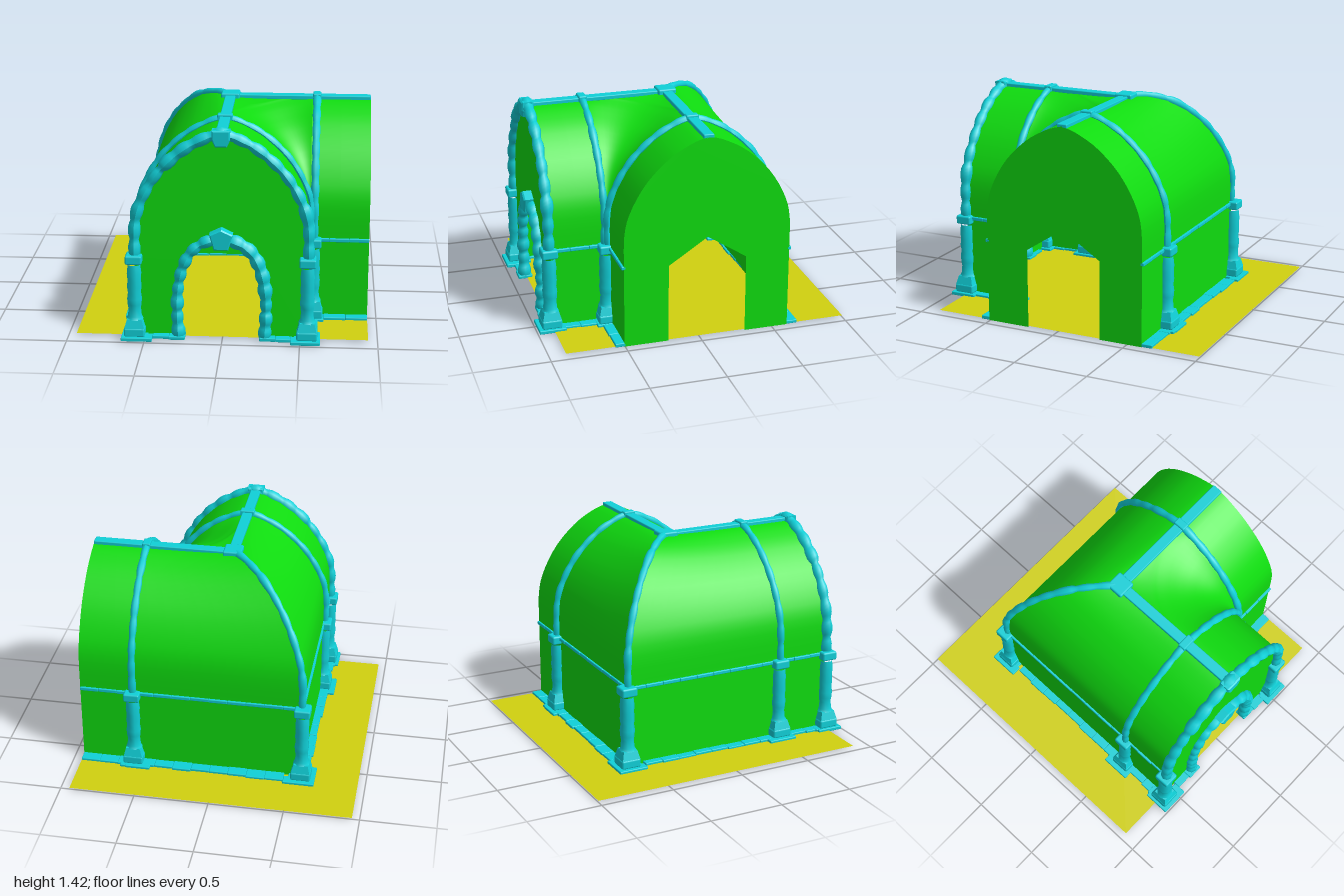
import * as THREE from 'three';
import { ParametricGeometry } from 'three/addons/geometries/ParametricGeometry.js';
import { RoundedBoxGeometry } from 'three/addons/geometries/RoundedBoxGeometry.js';

const CX = -0.005, CZ = -0.05, W = 0.555;   // ridge lines and half width of both arms
const FRONT = 0.89, END = 0.94, SPRING = 0.54;
const X1 = CX + W, Z1 = CZ + W;             // inner corner
const V2 = (x, y) => new THREE.Vector2(x, y);
const V3 = (x, y, z) => new THREE.Vector3(x, y, z);

// Half section of the vault: distance from the ridge line, height
const section = new THREE.SplineCurve([
  V2(W, SPRING), V2(0.55, 0.78), V2(0.505, 0.94), V2(0.4, 1.115), V2(0.25, 1.26), V2(0.1, 1.345), V2(0, 1.375)]);
const lift = d => 0.2 * (d / W) * (1 - d / W); // bulge of the outer corner

export function createModel() {
  const root = new THREE.Group();
  const green = new THREE.MeshStandardMaterial({ color: 0x0fdc0f, side: THREE.DoubleSide });
  const cyan = new THREE.MeshStandardMaterial({ color: 0x10d0d8 });
  const yellow = new THREE.MeshStandardMaterial({ color: 0xd0d010, side: THREE.DoubleSide });

  let seed = 7;
  const rand = () => (seed = (seed * 16807) % 2147483647) / 2147483647;

  const add = (name, geometry, material, x = 0, y = 0, z = 0, parent = root) => {
    const mesh = new THREE.Mesh(geometry, material);
    mesh.name = name;
    mesh.position.set(x, y, z);
    parent.add(mesh);
    return mesh;
  };
  const surface = (name, fn, nu = 20, nv = 12) => add(name, new ParametricGeometry(fn, nu, nv), green);
  const block = (name, w, h, d, x, y, z, parent) =>
    add(name, new RoundedBoxGeometry(w, h, d, 1, Math.min(w, h, d) * 0.2), cyan, x, y, z, parent);

  // Tube of uneven stones along a curve
  const stoneTube = (name, points, radius, stones, bump = 0.2) => {
    const curve = new THREE.CatmullRomCurve3(points);
    const rings = stones * 6, sides = 8;
    const geo = new THREE.TubeGeometry(curve, rings, radius, sides);
    const sizes = Array.from({ length: stones + 1 }, () => 0.95 + bump * rand());
    const pos = geo.attributes.position, v = V3(0, 0, 0);
    for (let i = 0; i <= rings; i++) {
      const c = curve.getPointAt(i / rings);
      const k = sizes[Math.floor(i / 6)] - bump * Math.abs(Math.cos(Math.PI * i / 6)) ** 4;
      for (let j = 0; j <= sides; j++) {
        const n = i * (sides + 1) + j;
        v.fromBufferAttribute(pos, n).sub(c).multiplyScalar(k).add(c);
        pos.setXYZ(n, v.x, v.y, v.z);
      }
    }
    geo.computeVertexNormals();
    return add(name, geo, cyan);
  };

  // Floor
  add('floor', new THREE.PlaneGeometry(1.89, 1.89).rotateX(-Math.PI / 2), yellow, -0.005, 0.008, -0.055);

  // Vault halves: outer ones run into the hip, inner ones stop at the inner corner
  surface('vaultLeft', (u, v, t) => {
    const p = section.getPoint(u), z = THREE.MathUtils.lerp(FRONT, CZ - p.x, v);
    const w = Math.max(0, (Z1 - z) / (W + p.x)) ** 2;
    t.set(CX - p.x, p.y + lift(p.x) * w, z);
  });
  surface('vaultBack', (u, v, t) => {
    const p = section.getPoint(u), x = THREE.MathUtils.lerp(END, CX - p.x, v);
    const w = Math.max(0, (X1 - x) / (W + p.x)) ** 2;
    t.set(x, p.y + lift(p.x) * w, CZ - p.x);
  });
  surface('vaultFrontRight', (u, v, t) => {
    const p = section.getPoint(u);
    t.set(CX + p.x, p.y, THREE.MathUtils.lerp(FRONT, Z1, v));
  }, 20, 2);
  surface('vaultEndFront', (u, v, t) => {
    const p = section.getPoint(u);
    t.set(THREE.MathUtils.lerp(END, X1, v), p.y, CZ + p.x);
  }, 20, 2);

  // Inner corner: section swept about the corner post, then filled out to the ridges
  surface('vaultInnerCorner', (u, v, t) => {
    const a = v * Math.PI / 2, c = Math.cos(a), s = Math.sin(a);
    const p = section.getPoint(Math.min(1, u / 0.8));
    const edge = W / Math.max(c, s);
    const r = u <= 0.8 ? Math.max(0.002, W - p.x) : THREE.MathUtils.lerp(W, edge, (u - 0.8) / 0.2);
    const a1 = r * c / W, b1 = r * s / W;
    const sag = 16 * a1 * (1 - a1) * b1 * (1 - b1) * 0.05;
    t.set(X1 - r * c, p.y - sag, Z1 - r * s);
  }, 25, 16);

  // Straight lower walls
  const walls = [
    ['wallLeft', CX - W, FRONT, CX - W, CZ - W], ['wallBack', CX - W, CZ - W, END, CZ - W],
    ['wallInnerRight', X1, Z1, X1, FRONT], ['wallInnerFront', X1, Z1, END, Z1]];
  for (const [name, xa, za, xb, zb] of walls) {
    const len = Math.hypot(xb - xa, zb - za);
    const wall = add(name, new THREE.PlaneGeometry(len, SPRING), green, (xa + xb) / 2, SPRING / 2, (za + zb) / 2);
    wall.rotation.y = -Math.atan2(zb - za, xb - xa);
    // String course at the springing
    const n = Math.round(len / 0.13), dx = (xb - xa) / n, dz = (zb - za) / n;
    for (let i = 0; i < n; i++) {
      const size = 0.022 + 0.01 * rand();
      block('stringCourse', Math.abs(dx) || size, 0.024, Math.abs(dz) || size,
        xa + dx * (i + 0.5), 0.55, za + dz * (i + 0.5));
    }
  }

  // End walls with a peaked doorway
  const half = section.getPoints(20).map(p => [p.x, p.y]);
  const outline = [[0.26, 0], [W, 0], ...half, ...half.slice(0, -1).reverse().map(([x, y]) => [-x, y]),
    [-W, 0], [-0.26, 0], [-0.26, 0.53], [0, 0.7], [0.26, 0.53]];
  const endGeo = new THREE.ShapeGeometry(new THREE.Shape(outline.map(p => V2(...p))));
  add('frontWall', endGeo, green, CX, 0, FRONT);
  add('endWall', endGeo, green, END, 0, CZ).rotation.y = Math.PI / 2;

  // Ribs and the heavier front arch
  const arch = [...half, ...half.slice(0, -1).reverse().map(([x, y]) => [-x, y])];
  stoneTube('frontArch', arch.map(([x, y]) => V3(CX + x, y, 0.9)), 0.037, 17, 0.28);
  stoneTube('ribAcrossFrontArm', arch.map(([x, y]) => V3(CX + x * 1.02, y + 0.005, 0.53)), 0.025, 16);
  stoneTube('ribAcrossSideArm', arch.map(([z, y]) => V3(0.58, y + 0.005, CZ + z * 1.02)), 0.025, 16);
  stoneTube('hipRib', half.map(([d, y]) => V3(CX - d, y + lift(d), CZ - d)), 0.026, 9);

  // Ridge beams, boss and crossings
  block('ridgeFrontArm', 0.07, 0.03, FRONT - CZ, CX, 1.375, (FRONT + CZ) / 2);
  block('ridgeSideArm', END - CX, 0.03, 0.07, (END + CX) / 2, 1.375, 0.06 + CZ - 0.06);
  block('ridgeBoss', 0.125, 0.055, 0.125, CX, 1.375, CZ);
  block('ridgeCrossing', 0.1, 0.045, 0.055, CX, 1.382, 0.53);
  block('ridgeCrossing', 0.055, 0.045, 0.085, 0.58, 1.382, CZ);

  // Keystones
  const keystone = (name, pts, depth, x, y, z) => add(name, new THREE.ExtrudeGeometry(
    new THREE.Shape(pts.map(p => V2(...p))),
    { depth, bevelEnabled: true, bevelThickness: 0.01, bevelSize: 0.008, bevelSegments: 1 }), cyan, x, y, z);
  keystone('archKeystone', [[-0.032, -0.05], [0.032, -0.05], [0.05, -0.01], [0.05, 0.04], [-0.05, 0.04], [-0.05, -0.01]],
    0.06, CX, 1.355, 0.875);
  keystone('doorKeystone', [[-0.04, -0.06], [0.04, -0.06], [0.066, 0.03], [0, 0.062], [-0.066, 0.03]],
    0.065, CX, 0.69, 0.88);

  // Door surround
  const jamb = [[0.275, 0], [0.285, 0.15], [0.28, 0.33], [0.25, 0.48], [0.19, 0.595], [0.1, 0.66]];
  stoneTube('doorArch', [...jamb, [0, 0.68], ...jamb.slice().reverse().map(([x, y]) => [-x, y])]
    .map(([x, y]) => V3(CX + x, y, 0.9)), 0.04, 17, 0.28);

  // Columns: slab, stepped base, stone shaft, capital
  const shaft = [[0.058, 0.13], [0.047, 0.15], [0.042, 0.2], [0.047, 0.23], [0.05, 0.27], [0.044, 0.31],
    [0.049, 0.35], [0.045, 0.4], [0.049, 0.44], [0.042, 0.5]].map(p => V2(...p));
  const places = [[-0.565, 0.9], [0.545, 0.9], [-0.565, 0.525], [0.575, 0.525], [-0.565, -0.615], [0.58, -0.615]];
  for (const [x, z] of places) {
    const column = new THREE.Group();
    column.name = 'column';
    column.position.set(x, 0, z);
    root.add(column);
    const inner = x > 0 && z > 0 && z < 0.6;
    const out = inner ? 0.02 : 0;
    block('columnSlab', 0.17 - out, 0.024, 0.18 - out, 0, 0.012, 0, column);
    block('columnBase', 0.135, 0.06, 0.135, 0, 0.05, 0, column);
    const taper = new THREE.CylinderGeometry(0.068, 0.09, 0.06, 4).rotateY(Math.PI / 4).toNonIndexed();
    taper.computeVertexNormals();
    add('columnBaseTaper', taper, cyan, 0, 0.105, 0, column);
    add('columnShaft', new THREE.LatheGeometry(shaft, 8, Math.PI / 8), cyan, 0, 0, 0, column);
    block('columnCapital', 0.108, 0.06, 0.108, 0, 0.54, 0, column);
  }

  // Corner slabs that spread out beyond the columns
  for (const [x, z, w, d] of [[-0.555, -0.675, 0.21, 0.07], [-0.625, -0.61, 0.07, 0.2], [0.545, -0.675, 0.17, 0.07],
    [-0.535, 0.945, 0.17, 0.09], [0.52, 0.945, 0.16, 0.09], [-0.62, 0.515, 0.09, 0.2], [-0.6, 0.88, 0.06, 0.16]])
    block('cornerSlab', w, 0.024, d, x, 0.012, z);

  // Uneven plinth stones along the walls
  const plinth = (xa, za, xb, zb, depth) => {
    const len = Math.hypot(xb - xa, zb - za), n = Math.max(1, Math.round(len / 0.125));
    const dx = (xb - xa) / n, dz = (zb - za) / n;
    for (let i = 0; i < n; i++) {
      const size = depth * (0.75 + 0.4 * rand());
      block('plinthStone', Math.abs(dx) || size, 0.018 + 0.008 * rand(), Math.abs(dz) || size,
        xa + dx * (i + 0.5), 0.012, za + dz * (i + 0.5));
    }
  };
  plinth(-0.45, -0.64, END, -0.64, 0.09);
  plinth(-0.58, -0.5, -0.58, 0.85, 0.07);
  plinth(-0.45, 0.9, -0.24, 0.9, 0.09);
  plinth(0.24, 0.9, 0.45, 0.9, 0.09);
  plinth(0.575, 0.6, 0.575, 0.82, 0.07);
  plinth(0.65, 0.53, END, 0.53, 0.07);
  return root;
}
